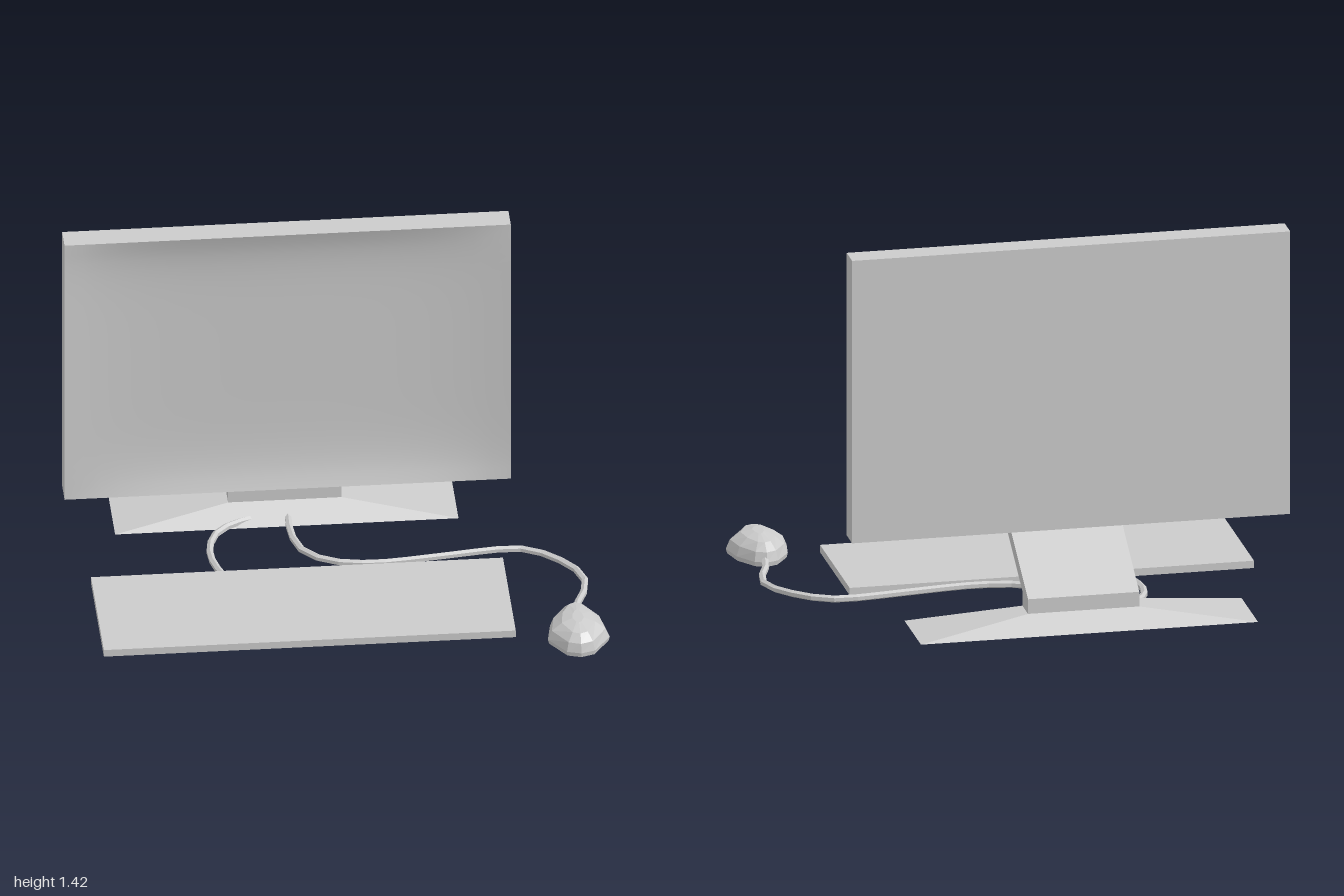
import * as THREE from 'three';

const faceted = new THREE.MeshStandardMaterial({ color: 0xcccccc, flatShading: true });
const smooth = new THREE.MeshStandardMaterial({ color: 0xcccccc });

function addMesh(parent, name, geometry, material = faceted) {
  const mesh = new THREE.Mesh(geometry, material);
  mesh.name = name;
  parent.add(mesh);
}

// Closed solid through stacked rings, each counterclockwise seen from above
function loft(rings) {
  const n = rings[0].length;
  const index = [];
  rings.slice(1).forEach((_, i) => {
    for (let j = 0; j < n; j++) {
      const a = i * n + j, b = i * n + (j + 1) % n;
      index.push(a, b, b + n, a, b + n, a + n);
    }
  });
  const top = (rings.length - 1) * n;
  for (let j = 1; j < n - 1; j++) {
    index.push(0, j + 1, j, top, top + j, top + j + 1);
  }
  const g = new THREE.BufferGeometry();
  g.setAttribute('position', new THREE.Float32BufferAttribute(rings.flat(2), 3));
  g.setIndex(index);
  const flat = g.toNonIndexed();
  flat.computeVertexNormals();
  return flat;
}

const rectRing = (x0, x1, y, z0, z1) => [[x0, y, z1], [x1, y, z1], [x1, y, z0], [x0, y, z0]];

// Flat panel whose front face is dished gently inward from its rim
function monitorGeometry() {
  const w = 1.692, h = 1.123, d = 0.1, sag = 0.04;
  const g = new THREE.BoxGeometry(w, h, d, 24, 24, 1);
  const p = g.attributes.position, normal = g.attributes.normal;
  for (let i = 0; i < p.count; i++) {
    if (normal.getZ(i) < 0.5) continue;
    const u = p.getX(i) / (w / 2), v = p.getY(i) / (h / 2);
    p.setZ(i, d / 2 - sag * (1 - u ** 4) * (1 - v ** 6));
  }
  g.computeVertexNormals();
  return g.translate(-1 + w / 2, 0.297 + h / 2, -0.227);
}

function cable(points, segments) {
  const curve = new THREE.CatmullRomCurve3(points.map(p => new THREE.Vector3(...p)));
  return new THREE.TubeGeometry(curve, segments, 0.014, 6, false);
}

function mouseGeometry() {
  // Egg-shaped outline as x, z
  const outline = [
    [0.882, 0.672], [0.935, 0.655], [1, 0.56], [0.98, 0.46], [0.927, 0.38],
    [0.882, 0.362], [0.837, 0.38], [0.782, 0.46], [0.765, 0.56], [0.829, 0.655],
  ];
  // Height, width scale and length scale of each layer of the dome
  const layers = [
    [0.01, 0.96, 0.98], [0.028, 1, 1], [0.065, 0.87, 0.94], [0.094, 0.54, 0.74], [0.106, 0.18, 0.3],
  ];
  const cx = 0.882, cz = 0.53;
  return loft(layers.map(([y, sx, sz]) =>
    outline.map(([x, z]) => [cx + (x - cx) * sx, y, cz + (z - cz) * sz])));
}

export function createModel() {
  const model = new THREE.Group();
  model.name = 'desktopComputer';

  addMesh(model, 'monitor', monitorGeometry(), smooth);

  // Foot flaring out from a short upright, with the neck leaning forward to the panel
  addMesh(model, 'stand', loft([
    rectRing(-0.79, 0.512, 0.01, -0.675, -0.378),
    rectRing(-0.353, 0.077, 0.07, -0.575, -0.473),
    rectRing(-0.353, 0.077, 0.128, -0.575, -0.473),
    rectRing(-0.353, 0.077, 0.297, -0.277, -0.177),
  ]));

  addMesh(model, 'keyboard', new THREE.BoxGeometry(1.562, 0.029, 0.532).translate(-0.132, 0.0235, 0.234));

  addMesh(model, 'mouse', mouseGeometry());

  // Cables from the foot to the keyboard and the mouse
  addMesh(model, 'keyboardCable', cable([
    [-0.25, 0.024, -0.43], [-0.35, 0.022, -0.39], [-0.42, 0.019, -0.32],
    [-0.447, 0.016, -0.2], [-0.435, 0.016, -0.11], [-0.408, 0.018, -0.02],
  ], 8));
  addMesh(model, 'mouseCable', cable([
    [-0.13, 0.025, -0.44], [-0.13, 0.025, -0.3], [-0.1, 0.025, -0.18],
    [-0.02, 0.025, -0.1], [0.08, 0.025, -0.067], [0.2, 0.025, -0.06],
    [0.36, 0.025, -0.078], [0.5, 0.025, -0.097], [0.64, 0.025, -0.115],
    [0.74, 0.025, -0.108], [0.84, 0.025, -0.04], [0.93, 0.025, 0.08],
    [0.944, 0.025, 0.18], [0.905, 0.027, 0.29], [0.885, 0.035, 0.39],
  ], 20));

  return model;
}
